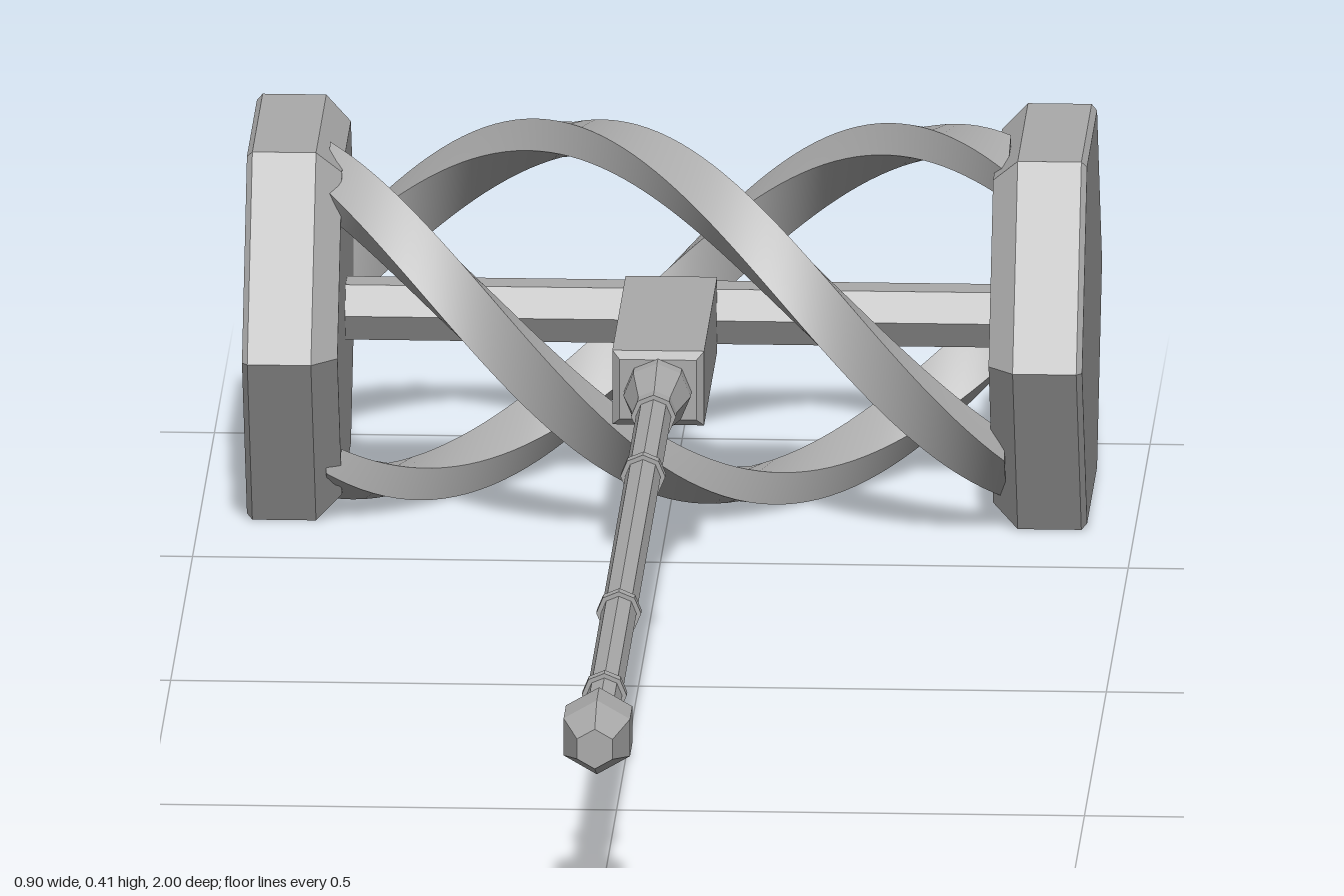
import * as THREE from 'three';

const HEAD_Y = 0.207, HEAD_Z = -0.766;

export function createModel() {
  const model = new THREE.Group();
  const metal = new THREE.MeshStandardMaterial({ color: 0xaaaaaa });
  metal.name = 'grey metal';

  const add = (name, geometry, x = 0, y = HEAD_Y, z = 0) => {
    const mesh = new THREE.Mesh(geometry, metal);
    mesh.name = name;
    mesh.position.set(x, y, z);
    model.add(mesh);
    return mesh;
  };

  // faceted turned solid from [radius, height] pairs
  const turned = (profile, sides) => {
    const g = new THREE.LatheGeometry(profile.map(p => new THREE.Vector2(...p)), sides).toNonIndexed();
    g.computeVertexNormals();
    return g;
  };
  const alongX = g => g.rotateZ(-Math.PI / 2);
  const alongZ = g => g.rotateX(Math.PI / 2);

  // hexagonal striking plates, chamfered wider on the inner side
  for (const side of [1, -1]) {
    const plate = alongX(turned([
      [0, 0.348], [0.206, 0.348], [0.235, 0.375], [0.235, 0.443], [0.228, 0.449], [0, 0.449],
    ], 6));
    if (side < 0) plate.rotateY(Math.PI);
    add(side > 0 ? 'leftPlate' : 'rightPlate', plate, 0, HEAD_Y, HEAD_Z);
  }

  // crossbar between the plates
  add('crossbar', alongX(turned([[0, -0.36], [0.035, -0.36], [0.035, 0.36], [0, 0.36]], 6)), 0, HEAD_Y, HEAD_Z);

  // three flat ribbons twisting round the crossbar
  const turn = 2 * Math.PI / 1.14;
  for (let i = 0; i < 3; i++) {
    const ribbon = new THREE.BoxGeometry(0.726, 0.035, 0.08, 60, 1, 1);
    ribbon.translate(0, 0.183, 0);
    const p = ribbon.attributes.position;
    for (let j = 0; j < p.count; j++) {
      const x = p.getX(j), y = p.getY(j), z = p.getZ(j);
      const a = turn * (x + 0.065) + i * 2 * Math.PI / 3;
      p.setXYZ(j, x, y * Math.cos(a) - z * Math.sin(a), y * Math.sin(a) + z * Math.cos(a));
    }
    ribbon.computeVertexNormals();
    add('ribbon' + (i + 1), ribbon, 0, HEAD_Y, HEAD_Z);
  }

  // chamfered socket block joining the crossbar to the handle
  const bevel = 0.008, w = 0.049 - bevel, h = 0.041 - bevel;
  const outline = new THREE.Shape([[-w, -h], [w, -h], [w, h], [-w, h]].map(p => new THREE.Vector2(...p)));
  add('socketBlock', new THREE.ExtrudeGeometry(outline, {
    depth: 0.3, bevelEnabled: true, bevelSize: bevel, bevelThickness: bevel, bevelSegments: 1,
  }), 0, HEAD_Y + 0.002, -0.752);

  // tapered collar, shaft and rings
  add('collar', alongZ(turned([
    [0, -0.45], [0.036, -0.45], [0.036, -0.425], [0.024, -0.36], [0.024, -0.342], [0, -0.342],
  ], 8)));
  add('shaft', alongZ(turned([[0, -0.36], [0.019, -0.36], [0.019, 0.89], [0, 0.89]], 8)));
  for (const z of [-0.107, 0.445, 0.775]) {
    add('shaftRing', alongZ(turned([[0.017, -0.007], [0.024, -0.007], [0.024, 0.007], [0.017, 0.007]], 8)), 0, HEAD_Y, z);
  }

  // faceted pommel
  add('pommel', alongZ(turned([
    [0, 0.872], [0.022, 0.872], [0.041, 0.9], [0.041, 0.952], [0.022, 1], [0, 1],
  ], 6)));

  return model;
}
